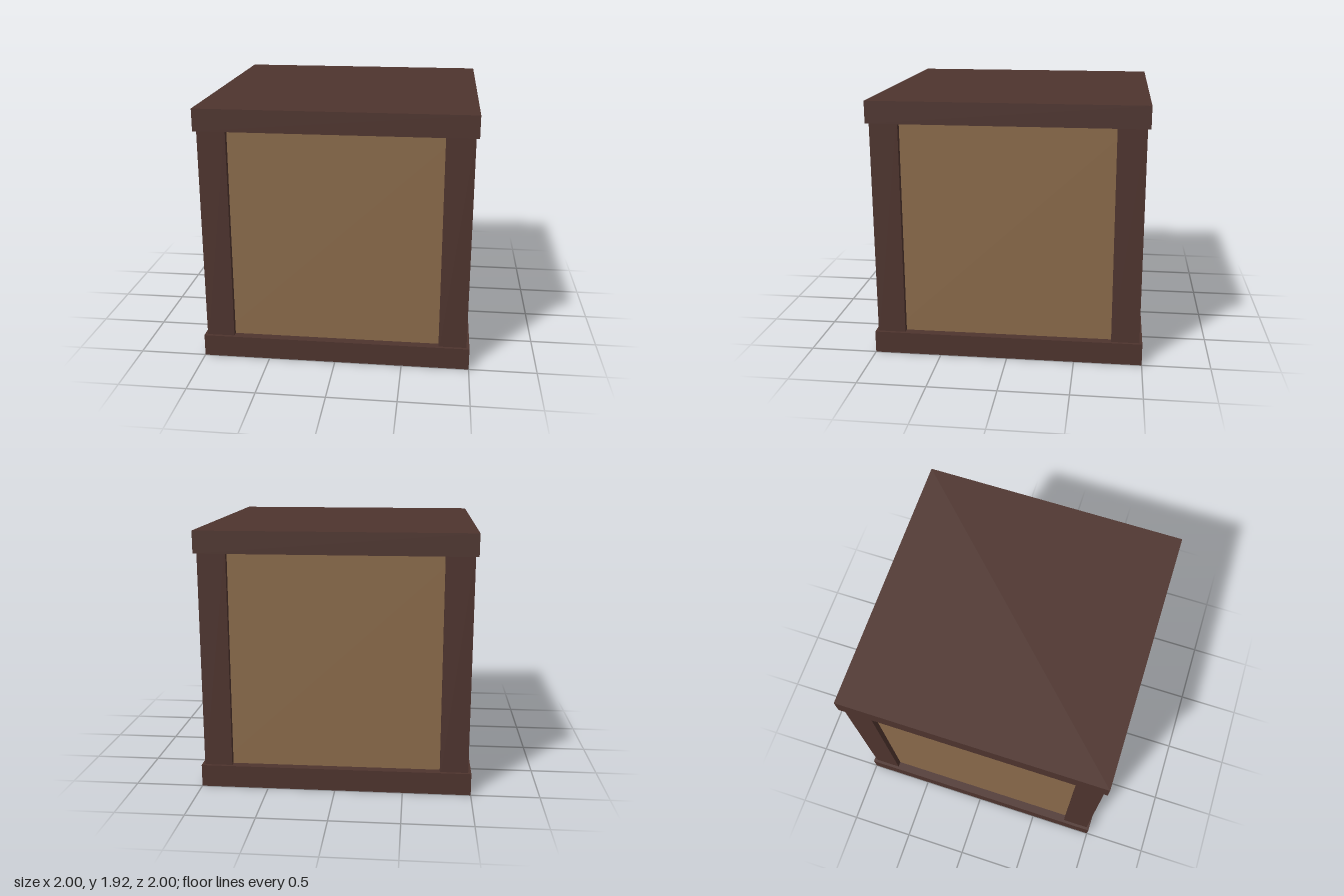
import * as THREE from 'three';

export function createModel() {
  const crate = new THREE.Group();
  crate.name = 'crate';

  const frameWood = new THREE.MeshStandardMaterial({ color: 0x4e342e });
  frameWood.name = 'dark frame wood';
  const panelWood = new THREE.MeshStandardMaterial({ color: 0x8a6a4a });
  panelWood.name = 'light panel wood';

  // Square block of the given width, standing between two heights
  function block(name, width, bottom, top, material, x = 0, z = 0) {
    const mesh = new THREE.Mesh(new THREE.BoxGeometry(width, top - bottom, width), material);
    mesh.name = name;
    mesh.position.set(x, (bottom + top) / 2, z);
    crate.add(mesh);
  }

  // Base and lid slabs
  block('base', 2, 0, 0.165, frameWood);
  block('lid', 2, 1.755, 1.917, frameWood);

  // Recessed body whose sides form the panels
  block('body', 1.87, 0.1, 1.82, panelWood);

  // Corner posts
  for (const [side, x] of [['left', 0.875], ['right', -0.875]]) {
    for (const [end, z] of [['Front', 0.875], ['Back', -0.875]]) {
      block(`${side}${end}Post`, 0.206, 0.1, 1.82, frameWood, x, z);
    }
  }

  return crate;
}
